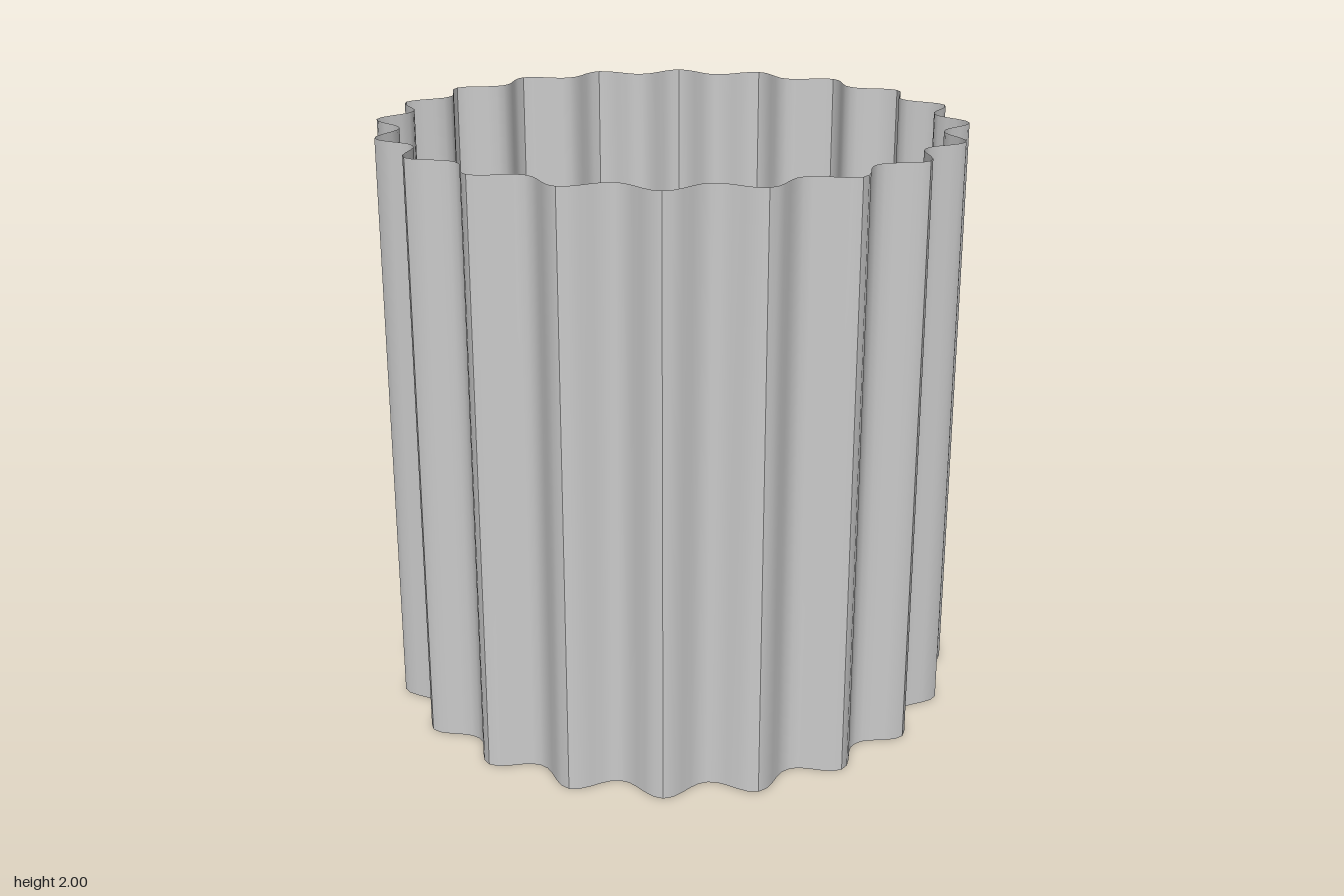
import * as THREE from 'three';
import { mergeGeometries } from 'three/addons/utils/BufferGeometryUtils.js';

const FLUTES = 20;
const HEIGHT = 2;
const CREST = 0.995; // outer radius at the ridges
const DEPTH = 0.09; // ridge to valley
const PITCH = (Math.PI * 2) / FLUTES;

// One flute: a sheet bent from ridge through valley to the next ridge
function flutePanel() {
  const geo = new THREE.PlaneGeometry(1, HEIGHT, 10, 1);
  const pos = geo.attributes.position;
  for (let i = 0; i < pos.count; i++) {
    const u = pos.getX(i); // -0.5 .. 0.5, valley at 0
    const lift = Math.pow((1 - Math.cos(u * Math.PI * 2)) / 2, 1.15);
    const r = CREST - DEPTH * (1 - lift);
    const a = u * PITCH;
    pos.setXYZ(i, r * Math.sin(a), pos.getY(i) + HEIGHT / 2, r * Math.cos(a));
  }
  geo.computeVertexNormals();
  return geo;
}

export function createModel() {
  const group = new THREE.Group();
  group.name = 'flutedTube';

  // Separate panels keep the ridges crisp and the valleys smooth
  const panels = [];
  for (let i = 0; i < FLUTES; i++) panels.push(flutePanel().rotateY(i * PITCH));

  const wall = new THREE.Mesh(
    mergeGeometries(panels),
    new THREE.MeshStandardMaterial({ color: 0xcccccc, side: THREE.DoubleSide })
  );
  wall.name = 'flutedWall';
  group.add(wall);
  return group;
}
